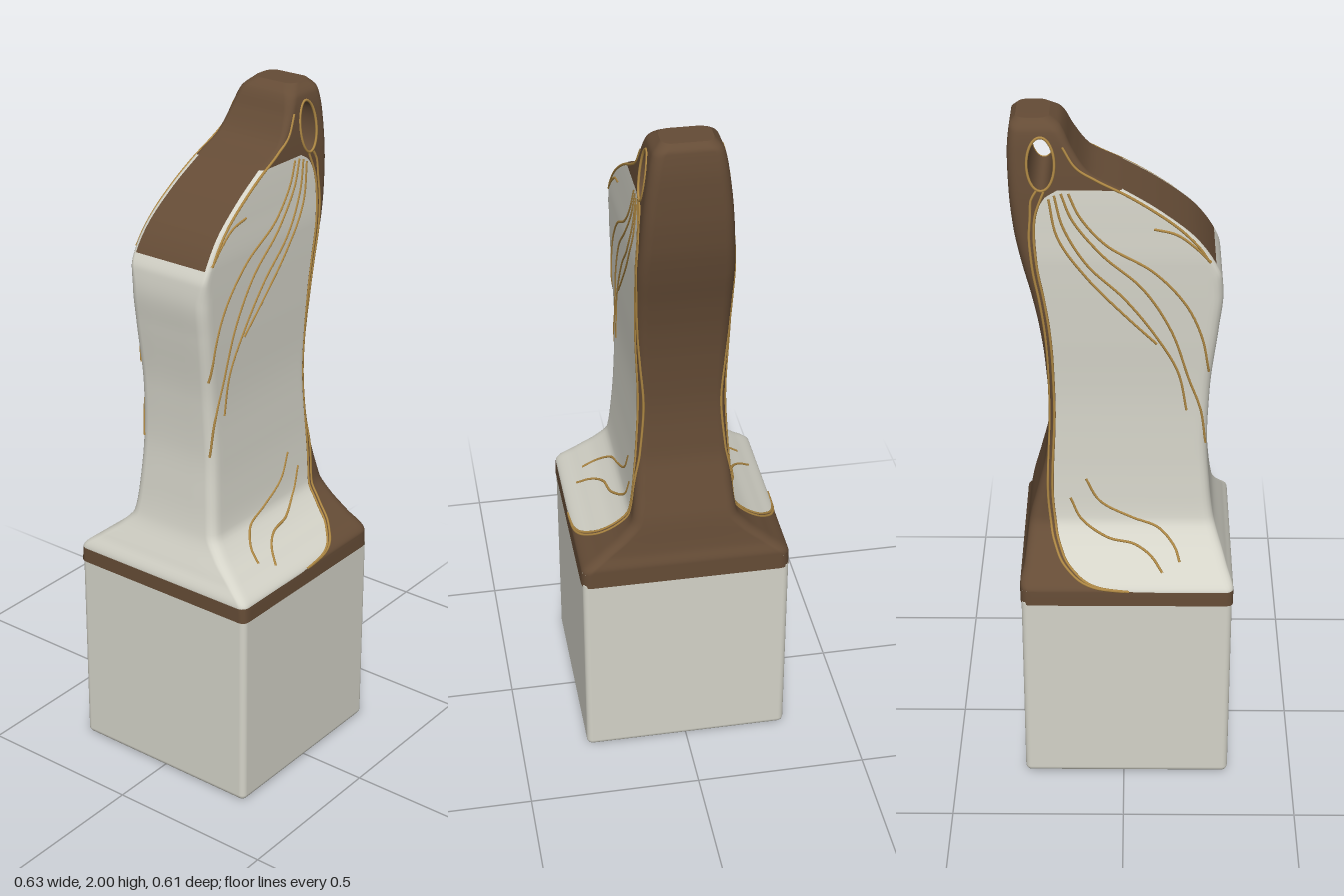
import * as THREE from 'three';
import { mergeGeometries, mergeVertices } from 'three/addons/utils/BufferGeometryUtils.js';
import { RoundedBoxGeometry } from 'three/addons/geometries/RoundedBoxGeometry.js';
import { ParametricGeometry } from 'three/addons/geometries/ParametricGeometry.js';

// Monotone cubic through [y, value] pairs
function spline(pts) {
  const n = pts.length;
  const sec = (i) => (pts[i + 1][1] - pts[i][1]) / (pts[i + 1][0] - pts[i][0]);
  const tan = pts.map((_, i) => {
    if (i === 0) return sec(0);
    if (i === n - 1) return sec(n - 2);
    const a = sec(i - 1), b = sec(i);
    return a * b <= 0 ? 0 : (2 * a * b) / (a + b);
  });
  return (y) => {
    let i = 0;
    while (i < n - 2 && y > pts[i + 1][0]) i++;
    const h = pts[i + 1][0] - pts[i][0];
    const t = Math.min(1, Math.max(0, (y - pts[i][0]) / h));
    const t2 = t * t, t3 = t2 * t;
    return pts[i][1] * (2 * t3 - 3 * t2 + 1) + h * tan[i] * (t3 - 2 * t2 + t)
      + pts[i + 1][1] * (3 * t2 - 2 * t3) + h * tan[i + 1] * (t3 - t2);
  };
}

// Outline of the handle by height: right and left silhouette, half depth, panel border
const left = spline([[0.605, -0.314], [0.65, -0.314], [0.7, -0.295], [0.8, -0.258], [0.9, -0.245],
  [1.05, -0.235], [1.2, -0.24], [1.4, -0.262], [1.5, -0.272], [1.56, -0.267], [1.6, -0.25], [1.67, -0.2],
  [1.75, -0.1], [1.81, 0], [1.86, 0.095], [1.92, 0.138], [1.98, 0.17], [2, 0.2]]);
const right = spline([[0.605, 0.298], [0.66, 0.298], [0.7, 0.287], [0.8, 0.272], [0.9, 0.246],
  [1, 0.223], [1.15, 0.213], [1.3, 0.222], [1.4, 0.235], [1.5, 0.255], [1.6, 0.28], [1.7, 0.3],
  [1.8, 0.31], [1.9, 0.313], [1.98, 0.306], [2, 0.29]]);
const depth = spline([[0.605, 0.306], [0.65, 0.304], [0.7, 0.25], [0.75, 0.19], [0.8, 0.152],
  [0.9, 0.14], [1, 0.133], [1.2, 0.126], [1.4, 0.13], [1.6, 0.132], [1.7, 0.127], [1.8, 0.12],
  [1.9, 0.108], [1.97, 0.095], [2, 0.07]]);
const border = spline([[0.65, -0.04], [0.66, 0.06], [0.68, 0.12], [0.72, 0.168], [0.78, 0.192],
  [0.9, 0.202], [1.15, 0.193], [1.3, 0.196], [1.4, 0.203], [1.5, 0.217], [1.6, 0.234], [1.7, 0.24],
  [1.75, 0.234], [1.79, 0.215], [1.813, 0.18]]);
const cornerLeft = spline([[0.605, 0.02], [0.8, 0.03], [1.5, 0.03], [1.6, 0.012], [1.85, 0.015], [2, 0.03]]);
const cornerRight = () => 0.03;

// Front surface depth, rounded off towards both silhouettes
function surfaceZ(x, y) {
  const drop = (d, r) => {
    const k = Math.min(1, Math.max(0, r - d) / r);
    return r * (1 - Math.sqrt(1 - k * k));
  };
  return depth(y) - drop(x - left(y), cornerLeft(y)) - drop(right(y) - x, cornerRight(y));
}

const patch = (nu, nv, fn) => new ParametricGeometry((u, v, p) => p.set(...fn(u, v)), nu, nv);
const ease = (u) => (1 - Math.cos(Math.PI * u)) / 2;

// Front and matching back skin between two edge curves
function skins(y0, y1, n, xa, xb, nx = 26) {
  return [1, -1].map((s) => patch(nx, n, (u, v) => {
    const y = y0 + (y1 - y0) * ease(v);
    const a = xa(y), x = a + (xb(y) - a) * ease(s > 0 ? u : 1 - u);
    return [x, y, s * surfaceZ(x, y)];
  }));
}

// Narrow side wall along one silhouette
function wall(y0, y1, n, edge, s) {
  return patch(4, n, (u, v) => {
    const y = y0 + (y1 - y0) * ease(v), x = edge(y);
    return [x, y, s * surfaceZ(x, y) * (1 - 2 * u)];
  });
}

// Flat end, s = 1 facing up and -1 facing down
function cap(y, s) {
  return patch(26, 2, (u, v) => {
    const x = left(y) + (right(y) - left(y)) * ease(u);
    return [x, y, s * surfaceZ(x, y) * (1 - 2 * v)];
  });
}

function weld(list) {
  const g = mergeGeometries(list);
  g.deleteAttribute('uv');
  g.deleteAttribute('normal');
  const w = mergeVertices(g, 1e-5);
  w.computeVertexNormals();
  return w;
}

export function createModel() {
  const cream = new THREE.MeshStandardMaterial({ color: 0xd4d3c8 });
  const brown = new THREE.MeshStandardMaterial({ color: 0x654c36 });
  const gold = new THREE.MeshStandardMaterial({ color: 0xb18a45 });
  cream.name = 'cream';
  brown.name = 'brown';
  gold.name = 'gold';

  const model = new THREE.Group();
  model.name = 'stampHandle';
  const add = (name, geometry, material, parent = model) => {
    const mesh = new THREE.Mesh(geometry, material);
    mesh.name = name;
    parent.add(mesh);
    return mesh;
  };

  // Base block
  const base = add('baseBlock', new RoundedBoxGeometry(0.605, 0.625, 0.606, 4, 0.018), cream);
  base.position.set(-0.008, 0.3125, 0);

  // Handle skin, split into the cream panel and the brown frame
  const hole = { x: 0.223, y: 1.883, rx: 0.035, ry: 0.07 };
  const holeHalf = (y) => hole.rx * Math.sqrt(Math.max(0, 1 - ((y - hole.y) / hole.ry) ** 2));
  const y0 = 0.605, yBand = 0.65, ySlope = 1.6, yHole = 1.813, yHoleTop = 1.953, yTop = 2;
  const panel = [
    ...skins(yBand, ySlope, 90, left, border),
    ...skins(ySlope, yHole, 30, left, border),
    wall(yBand, ySlope, 90, left, -1).scale(1, 1, 1),
  ];
  const frame = [
    ...skins(y0, yBand, 6, left, right),
    ...skins(yBand, ySlope, 90, border, right, 16),
    ...skins(ySlope, yHole, 30, border, right, 16),
    ...skins(yHole, yHoleTop, 24, left, (y) => hole.x - holeHalf(y), 18),
    ...skins(yHole, yHoleTop, 24, (y) => hole.x + holeHalf(y), right, 18),
    ...skins(yHoleTop, yTop, 14, left, right),
    cap(yTop, 1),
  ];
  const bands = [[y0, yBand, 6], [yBand, ySlope, 90], [ySlope, yHole, 30], [yHole, yHoleTop, 24], [yHoleTop, yTop, 14]];
  bands.forEach(([a, b, n], i) => {
    frame.push(wall(a, b, n, right, 1));
    if (i !== 1) frame.push(wall(a, b, n, left, -1));
  });
  add('creamPanel', weld(panel), cream);
  add('brownFrame', weld(frame), brown);
  add('frameUnderside', cap(y0, -1), brown);

  // Wall of the hanging hole
  add('holeWall', patch(40, 2, (u, v) => {
    const a = u * Math.PI * 2;
    const x = hole.x + hole.rx * Math.cos(a), y = hole.y + hole.ry * Math.sin(a);
    return [x, y, surfaceZ(x, y) * (1 - 2 * v)];
  }), brown).material.side = THREE.DoubleSide;

  // Gold inlay lines laid on both faces
  const alongBorder = (offset) => Array.from({ length: 28 }, (_, i) => {
    const y = 0.652 + 1.09 * (i / 27) ** 1.5;
    return [border(y) + offset, y];
  });
  const ring = Array.from({ length: 24 }, (_, i) => {
    const a = (i / 24) * Math.PI * 2;
    return [hole.x + 0.037 * Math.cos(a), hole.y + 0.072 * Math.sin(a)];
  });
  const slopeEdge = [1.61, 1.65, 1.7, 1.75, 1.8, 1.84].map((y) => [left(y) + 0.012, y]);
  const lines = {
    innerBorderLine: [...alongBorder(0.004), [0.225, 1.785], [0.215, 1.81]],
    outerBorderLine: [...alongBorder(0.017), [0.25, 1.785], [0.235, 1.812]],
    slopeEdgeLine: [...slopeEdge, [0.13, 1.875], [0.165, 1.93]],
    upperLineA: [[0.15, 1.805], [0.12, 1.74], [0.05, 1.66], [-0.08, 1.58], [-0.17, 1.48], [-0.215, 1.38], [-0.236, 1.27]],
    upperLineB: [[0.17, 1.805], [0.14, 1.73], [0.06, 1.63], [-0.05, 1.53], [-0.13, 1.4], [-0.18, 1.25], [-0.215, 1.15], [-0.23, 1.04]],
    upperLineC: [[0.188, 1.8], [0.165, 1.71], [0.1, 1.6], [0, 1.5], [-0.09, 1.38], [-0.15, 1.27], [-0.175, 1.15]],
    upperLineD: [[0.203, 1.79], [0.18, 1.68], [0.1, 1.56], [0, 1.45], [-0.09, 1.36]],
    shoulderLine: [[-0.08, 1.705], [-0.14, 1.69], [-0.19, 1.655], [-0.235, 1.61]],
    lowerLineA: [[0.11, 0.93], [0.07, 0.86], [-0.02, 0.81], [-0.1, 0.78], [-0.145, 0.74], [-0.16, 0.71]],
    lowerLineB: [[0.155, 0.87], [0.12, 0.8], [0.05, 0.76], [-0.03, 0.745], [-0.08, 0.72], [-0.11, 0.69]],
    holeRim: ring,
  };
  const inlay = new THREE.Group();
  inlay.name = 'goldInlay';
  model.add(inlay);
  for (const [name, pts] of Object.entries(lines)) {
    const closed = name === 'holeRim';
    const flat = new THREE.CatmullRomCurve3(pts.map(([x, y]) => new THREE.Vector3(x, y, 0)), closed);
    for (const s of [1, -1]) {
      const onFace = flat.getPoints(60).map((p) => new THREE.Vector3(p.x, p.y, s * surfaceZ(p.x, p.y)));
      if (closed) onFace.pop();
      const path = new THREE.CatmullRomCurve3(onFace, closed);
      add(name + (s > 0 ? 'Front' : 'Back'), new THREE.TubeGeometry(path, 90, 0.0038, 6, closed), gold, inlay);
    }
  }
  return model;
}
